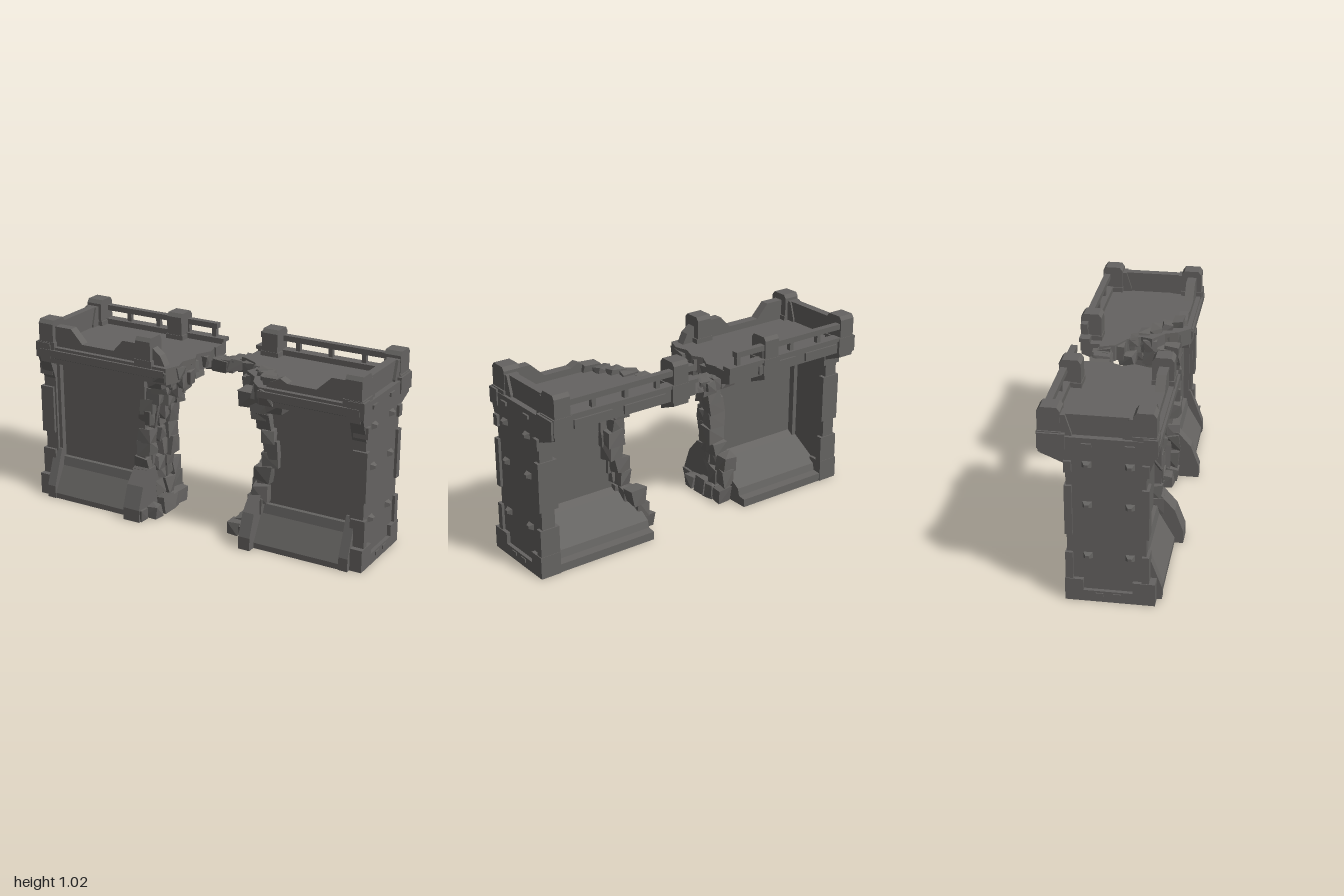
import * as THREE from 'three';
import { ConvexGeometry } from 'three/addons/geometries/ConvexGeometry.js';

export function createModel() {
  const model = new THREE.Group();
  model.name = 'ruinedWall';
  const stone = new THREE.MeshStandardMaterial({ color: 0x656361, flatShading: true });
  stone.name = 'dark stone';

  let seed = 11;
  const rnd = () => {
    seed = (seed * 16807) % 2147483647;
    return seed / 2147483647;
  };
  const add = (name, geo) => {
    const mesh = new THREE.Mesh(geo, stone);
    mesh.name = name;
    model.add(mesh);
    return mesh;
  };
  // box from its bounds; x bounds may come in either order
  const box = (name, xa, xb, y0, y1, z0, z1) => {
    const g = new THREE.BoxGeometry(Math.abs(xb - xa), y1 - y0, z1 - z0);
    return add(name, g.translate((xa + xb) / 2, (y0 + y1) / 2, (z0 + z1) / 2));
  };
  const extrude = (pts, depth) => new THREE.ExtrudeGeometry(
    new THREE.Shape(pts.map(([a, b]) => new THREE.Vector2(a, b))), { depth, bevelEnabled: false });
  // [z, y] profile swept along x
  const sweepX = (name, pts, xa, xb) => add(name,
    extrude(pts, Math.abs(xb - xa)).rotateY(-Math.PI / 2).translate(Math.max(xa, xb), 0, 0));
  // [x, y] outline given thickness along z
  const sweepZ = (name, pts, z0, z1) => add(name, extrude(pts, z1 - z0).translate(0, 0, z0));
  // [x, z] outline given thickness along y
  const sweepY = (name, pts, y0, y1) => add(name,
    extrude(pts.map(([x, z]) => [x, -z]), y1 - y0).rotateX(-Math.PI / 2).translate(0, y0, 0));
  // rough block with shaken corners
  const rubble = (name, x, y, z, w, h, d) => {
    const pts = [];
    for (const i of [-1, 1]) for (const j of [-1, 1]) for (const k of [-1, 1]) {
      const f = () => 0.3 + rnd() * 0.25;
      pts.push(new THREE.Vector3(x + i * w * f(), Math.max(0, y + j * h * f()), z + k * d * f()));
    }
    add(name, new ConvexGeometry(pts));
  };
  // parapet post with a chamfered cap and a thicker foot block
  const post = (x, z, back) => {
    const w = 0.045, d = 0.055;
    sweepX('postShaft', [[z - d, 0.8], [z + d, 0.8], [z + d, 1.0], [z + d - 0.015, 1.02],
      [z - d + 0.015, 1.02], [z - d, 1.0]], x - w, x + w);
    box('postBand', x - w - 0.008, x + w + 0.008, 0.81, 0.9, z - d - 0.003, z + d + 0.003);
    if (back) sweepX('postCorbel', [[z - d, 0.79], [z + d, 0.745], [z + d, 0.82], [z - d, 0.82]], x - w, x + w);
  };

  const sides = [
    { // right-hand part
      s: -1,
      edge: [[-0.29, 0], [-0.3, 0.2], [-0.3, 0.4], [-0.27, 0.55], [-0.25, 0.68], [-0.16, 0.8]],
      deck: [[-0.12, -0.2], [-0.1, -0.12], [-0.14, -0.04], [-0.11, 0.02], [-0.14, 0.1],
        [-0.12, 0.17], [-0.15, 0.25]],
      path: [[-0.27, 0.04], [-0.29, 0.13], [-0.3, 0.22], [-0.29, 0.3], [-0.27, 0.38], [-0.27, 0.46],
        [-0.27, 0.54], [-0.25, 0.61], [-0.22, 0.68], [-0.18, 0.74], [-0.14, 0.79]],
      backEnd: -0.32, frontEnd: -0.32, rib: [-0.39, -0.29], cornice: -0.16, backPost: -0.38,
      parapet: [[-0.87, 0.84], [-0.87, 0.985], [-0.76, 0.985], [-0.69, 0.91], [-0.49, 0.91], [-0.43, 0.975],
        [-0.26, 0.975], [-0.2, 0.93], [-0.16, 0.85]],
    },
    { // left-hand part
      s: 1,
      edge: [[0.25, 0], [0.3, 0.2], [0.35, 0.35], [0.38, 0.5], [0.36, 0.62], [0.32, 0.72], [0.22, 0.8]],
      deck: [[0.08, -0.2], [0.11, -0.12], [0.2, -0.07], [0.24, 0], [0.22, 0.06], [0.3, 0.12],
        [0.33, 0.19], [0.39, 0.25]],
      path: [[0.24, 0.04], [0.27, 0.12], [0.3, 0.2], [0.32, 0.29], [0.34, 0.38], [0.37, 0.46],
        [0.38, 0.53], [0.36, 0.6], [0.34, 0.67], [0.31, 0.73], [0.25, 0.78]],
      backEnd: 0.29, frontEnd: 0.35, rib: [0.32, 0.385], cornice: 0.39, backPost: 0.21,
      parapet: [[0.87, 0.84], [0.87, 0.985], [0.78, 0.985], [0.7, 0.91], [0.54, 0.91], [0.5, 0.93],
        [0.44, 0.9], [0.4, 0.84]],
    },
  ];

  for (const { s, edge, deck, path, backEnd, frontEnd, rib, cornice, backPost, parapet } of sides) {
    // thin curtain wall with a broken edge, and the sloped base on both faces
    sweepZ('wallPanel', [[s * 0.9, 0], ...edge, [s * 0.9, 0.8]], 0.085, 0.16);
    sweepX('frontBatter', [[0.12, 0], [0.27, 0], [0.27, 0.03], [0.19, 0.17], [0.18, 0.22], [0.12, 0.225]],
      frontEnd, s * 0.9);
    sweepX('backSlope', [[-0.185, 0], [0.12, 0], [0.12, 0.225], [0.085, 0.225], [0.05, 0.2], [-0.13, 0.09],
      [-0.14, 0.05], [-0.185, 0.045]], backEnd, s * 0.9);

    // front ribs at both ends of the panel
    const ribPts = [[0.1, 0], [0.315, 0], [0.315, 0.07], [0.27, 0.19], [0.2, 0.27], [0.1, 0.27]];
    sweepX('brokenRib', ribPts, rib[0], rib[1]);
    sweepX('cornerRib', ribPts.map(([z, y]) => [z > 0.2 ? z - 0.04 : z, y]), s * 0.87, s * 0.92);
    box('frontPilaster', s * 0.87, s * 0.92, 0.2, 0.8, 0.1, 0.19);
    box('backPilaster', s * 0.865, s * 0.9, 0.1, 0.8, 0.05, 0.1);
    if (s < 0) box('innerPilaster', -0.37, -0.32, 0.2, 0.8, 0.12, 0.195);

    // end wall flaring out under the parapet
    sweepX('endWall', [[-0.18, 0], [0.205, 0], [0.205, 0.68], [0.25, 0.81], [0.25, 0.88], [-0.3, 0.88],
      [-0.3, 0.79], [-0.25, 0.77], [-0.18, 0.74]], s * 0.89, s * 0.965);
    box('endPlinth', s * 0.88, s * 0.985, 0, 0.06, -0.19, 0.25);
    for (const [z0, z1] of [[-0.19, -0.1], [0.14, 0.25]]) {
      box('plinthCorner', s * 0.87, s * 0.985, 0, 0.12, z0, z1);
    }
    // alternating corner stones
    for (const [y0, y1] of [[0.12, 0.265], [0.365, 0.63], [0.7, 0.76]]) {
      box('frontQuoin', s * 0.9, s * 0.98, y0, y1, 0.185, 0.22);
      box('backQuoin', s * 0.87, s * 0.98, y0, y1, -0.187, -0.15);
    }
    for (const [z0, z1] of [[0.19, 0.258], [-0.31, -0.18]]) {
      box('topQuoin', s * 0.88, s * 0.972, 0.81, 0.895, z0, z1);
    }
    // pyramid studs and small plates on the end wall
    for (const z of [0.127, -0.078]) {
      for (const y of [0.25, 0.53, 0.745]) {
        const stud = new THREE.CylinderGeometry(0.014, 0.034, 0.025, 4).rotateY(Math.PI / 4);
        stud.scale(0.7, 1, 1).rotateZ(-s * Math.PI / 2);
        add('wallStud', stud.translate(s * 0.976, y, z));
      }
      box('wallPlate', s * 0.96, s * 0.975, 0.835, 0.855, z - 0.024, z + 0.024);
    }
    for (const z of [0.065, -0.02]) box('plinthStud', s * 0.98, s * 0.99, 0.03, 0.05, z - 0.02, z + 0.02);

    // walkway and its outer edges
    sweepY('walkway', [[s * 0.95, -0.2], ...deck, [s * 0.95, 0.25]], 0.785, 0.875);
    box('frontCornice', cornice, s * 0.95, 0.825, 0.86, 0.19, 0.262);
    sweepX('frontFrieze', [[0.1, 0.765], [0.18, 0.765], [0.255, 0.815], [0.255, 0.84], [0.1, 0.84]], cornice, s * 0.95);
    sweepZ('frontParapet', parapet, 0.175, 0.225);
    box('endParapet', s * 0.89, s * 0.935, 0.84, 0.985, -0.26, 0.2);
    for (const [za, zb, zc] of [[0.2, 0.12, 0.09], [-0.26, -0.18, -0.15]]) {
      sweepX('parapetFlank', [[za, 0.84], [za, 0.985], [zb, 0.985], [zc, 0.89], [zc, 0.84]], s * 0.88, s * 0.95);
    }

    // back overhang with a sloped underside, panels and open railing
    sweepX('backOverhang', [[-0.3, 0.815], [-0.3, 0.89], [-0.255, 0.89], [-0.255, 0.875], [-0.19, 0.875],
      [-0.19, 0.785]], s * 0.11, s * 0.95);
    for (const [a, b] of [[0.3, 0.55], [0.62, 0.84]]) box('fasciaPanel', s * a, s * b, 0.825, 0.87, -0.31, -0.29);
    box('railLedge', s * 0.1, s * 0.95, 0.885, 0.905, -0.312, -0.255);
    box('topRail', s * (s > 0 ? 0.12 : 0.15), s * 0.95, 0.95, 0.98, -0.305, -0.27);
    for (const x of [0.17, 0.34, 0.53, 0.72]) {
      box('railBaluster', s * x - 0.012, s * x + 0.012, 0.89, 0.97, -0.297, -0.273);
    }

    // posts
    post(s * 0.908, 0.195, false);
    post(s * 0.908, -0.257, true);
    post(backPost, -0.257, true);
    if (s < 0) post(-0.29, 0.195, false);

    // rubble following the break in the wall, leaning back toward the front face
    for (const [x, y] of path) {
      for (const z of y < 0.25 ? [0.17, 0.1, 0.03, -0.04] : [0.16, 0.1, 0.045]) {
        const lean = 0.01 + Math.max(0, z - 0.05) * 0.4;
        rubble('brokenStone', x + s * lean, y + (rnd() - 0.5) * 0.03, z, 0.08 + rnd() * 0.04, 0.1, 0.085);
      }
    }
    // rough stones hanging below the broken walkway edge
    deck.forEach(([x, z]) => {
      rubble('edgeStone', x + s * 0.04, 0.825, z * 0.87, 0.09, 0.08, 0.08);
      if (z > -0.2) rubble('underStone', x + s * 0.08, 0.77, z * 0.7 + 0.02, 0.1, 0.07, 0.09);
    });
    // footing debris at the broken base
    for (const z of [0.03, 0.1]) rubble('footStone', backEnd - s * 0.05, 0.04, z, 0.1, 0.1, 0.09);
  }

  // loose front pieces
  for (const [x, z] of [[0.21, 0.15], [-0.27, 0.2], [-0.31, 0.27]]) {
    rubble('looseStone', x, 0.03, z, 0.08, 0.08, 0.08);
  }
  // fallen coping beside the broken left-hand parapet
  for (let i = 0; i < 5; i++) rubble('slantedCoping', 0.25 + i * 0.045, 0.855 + i * 0.008, -0.04 + i * 0.055, 0.1, 0.06, 0.06);

  // thin stone bridge across the gap
  for (let i = 0; i < 7; i++) {
    const x = -0.15 + i * 0.05;
    rubble('bridgeStone', x, 0.808 - 0.012 * Math.sin(i), -0.185 + (rnd() - 0.5) * 0.03, 0.09, 0.07, 0.12);
  }
  return model;
}
